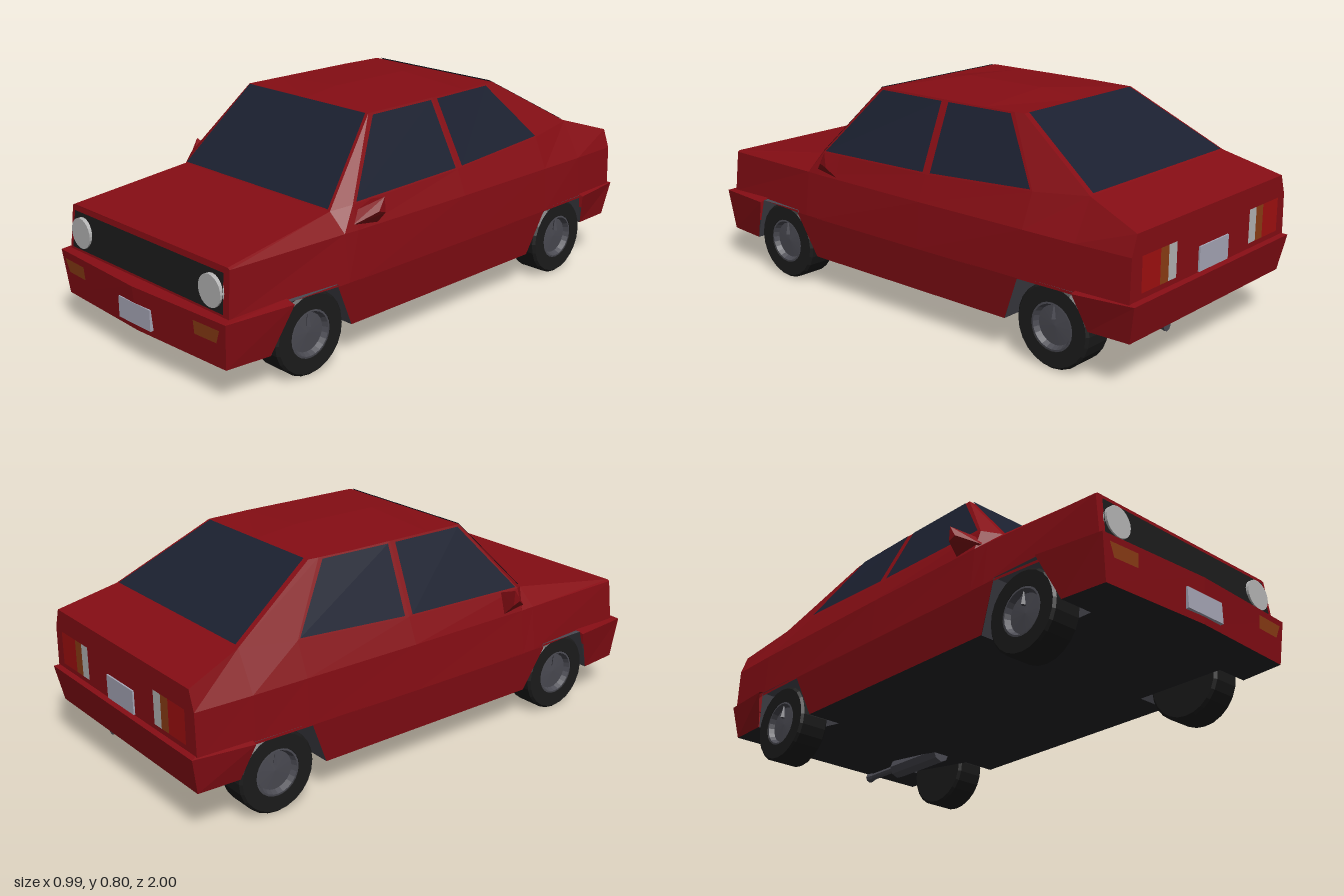
import * as THREE from 'three';
import { ConvexGeometry } from 'three/addons/geometries/ConvexGeometry.js';

const RED = 0x850d14, GLASS = 0x1b2030, BLACK = 0x1b1b1b, GREY = 0x4a4a52,
  FLOOR = 0x242428, PLATE = 0xa6a6b6, ORANGE = 0x8c3c14, LAMP = 0xb4b4b4;

const mat = (color) => new THREE.MeshStandardMaterial({ color, flatShading: true, side: THREE.DoubleSide });
const flip = (face) => face.map(([x, y, z]) => [-x, y, z]).reverse();

export function createModel() {
  const car = new THREE.Group();

  const add = (name, geometry, color, parent = car) => {
    const mesh = new THREE.Mesh(geometry, mat(color));
    mesh.name = name;
    parent.add(mesh);
    return mesh;
  };

  // Flat faces given by corners (counter-clockwise from outside), optionally mirrored in x
  const panel = (name, color, faces, mirror = true) => {
    const all = mirror ? [...faces, ...faces.map(flip)] : faces;
    const pos = [];
    for (const f of all)
      for (let i = 1; i < f.length - 1; i++) pos.push(...f[0], ...f[i], ...f[i + 1]);
    const g = new THREE.BufferGeometry();
    g.setAttribute('position', new THREE.Float32BufferAttribute(pos, 3));
    g.computeVertexNormals();
    return add(name, g, color);
  };

  // Faces between successive cross-sections, each listed from bottom to top
  const loft = (sections) => {
    const faces = [];
    for (let i = 0; i < sections.length - 1; i++)
      for (let j = 0; j < sections[i].length - 1; j++)
        faces.push([sections[i][j], sections[i + 1][j], sections[i + 1][j + 1], sections[i][j + 1]]);
    return faces;
  };

  // Smaller quad lying just outside a quad; corners given as [u, v]
  const inset = (q, uvs, off = 0.005) => {
    const [a, b, c, d] = q.map((p) => new THREE.Vector3(...p));
    const n = c.clone().sub(a).cross(d.clone().sub(b)).normalize().multiplyScalar(off);
    return uvs.map(([u, v]) =>
      a.clone().lerp(b, u).lerp(d.clone().lerp(c, u), v).add(n).toArray());
  };

  // Lower body: z, crease x, shoulder x and y, deck edge x and y
  const stations = [
    [0.935, 0.437, 0.43, 0.445, 0.42, 0.45],
    [0.48, 0.475, 0.455, 0.45, 0.385, 0.51],
    [0.42, 0.476, 0.458, 0.45, 0.43, 0.53],
    [-0.1, 0.477, 0.465, 0.45, 0.427, 0.54],
    [-0.56, 0.475, 0.465, 0.45, 0.415, 0.565],
    [-0.77, 0.472, 0.465, 0.45, 0.39, 0.585],
    [-0.98, 0.465, 0.46, 0.45, 0.435, 0.52],
  ];
  const sections = stations.map(([z, cx, sx, sy, dx, dy], i) => [
    [cx, 0.285, i ? z : 0.95], [sx, sy, z], [dx, dy, z], [0, dy, z]]);
  const nose = sections[0], tail = sections[6];
  panel('body', RED, [
    ...loft(sections),
    [[0, 0.285, 0.95], nose[0], nose[1], nose[2], nose[3]],
    [tail[0], [0, 0.285, -0.98], tail[3], tail[2], tail[1]],
  ]);
  panel('sill', RED, [[[0.455, 0.125, 0.45], [0.455, 0.125, -0.48], [0.476, 0.287, -0.55], [0.476, 0.287, 0.53]]]);

  // Cabin: roof and pillars
  const A = sections[1][2], P = sections[2][2], B = sections[3][2], E = sections[4][2], R = sections[5][2];
  const C = [0.31, 0.78, -0.09], D = [0.31, 0.78, 0.23], F = [0.303, 0.78, -0.39], G = [0.3, 0.78, -0.43];
  const frontSide = [P, B, C, D], rearSide = [B, E, F, C];
  const mirrored = ([x, y, z]) => [-x, y, z];
  const windshield = [mirrored(A), A, D, mirrored(D)];
  const backlight = [R, mirrored(R), mirrored(G), G];
  panel('roof', RED, loft([[0.23, 0.31, 0.78], [0.08, 0.31, 0.8], [-0.26, 0.31, 0.8], [-0.43, 0.3, 0.78]]
    .map(([z, x, top]) => [[x, 0.78, z], [0, top, z]])));
  panel('pillars', RED, [[A, P, D], frontSide, rearSide, [E, R, G, F]]);
  panel('endFrames', RED, [windshield, backlight], false);

  // Glass
  panel('windshieldGlass', GLASS, [inset(windshield, [[0.01, 0.01], [0.99, 0.01], [0.985, 0.99], [0.015, 0.99]])], false);
  panel('rearGlass', GLASS, [inset(backlight, [[0.02, 0.01], [0.98, 0.01], [0.97, 0.99], [0.03, 0.99]])], false);
  panel('sideGlass', GLASS, [
    inset(frontSide, [[0.02, 0.02], [0.975, 0.02], [0.95, 0.97], [0.06, 0.97]]),
    inset(rearSide, [[0.045, 0.02], [0.99, 0.02], [0.95, 0.97], [0.05, 0.97]]),
  ]);

  // Wraparound bumpers: lower edge, upper edge, edge against the body
  panel('frontBumper', RED, loft([
    [[0, 0.125, 0.985], [0, 0.285, 1], [0, 0.29, 0.935]],
    [[0.435, 0.125, 0.965], [0.455, 0.285, 0.978], [0.43, 0.29, 0.935]],
    [[0.452, 0.125, 0.8], [0.49, 0.29, 0.73], [0.45, 0.3, 0.73]],
  ]));
  panel('rearBumper', RED, loft([
    [[0.455, 0.17, -0.82], [0.49, 0.295, -0.78], [0.46, 0.305, -0.78]],
    [[0.45, 0.17, -0.975], [0.468, 0.3, -1], [0.455, 0.305, -0.975]],
    [[0, 0.17, -0.975], [0, 0.3, -1], [0, 0.305, -0.975]],
  ]));

  // Grille and lights
  panel('grille', BLACK, [[[0, 0.3, 0.954], [0.415, 0.3, 0.954], [0.408, 0.432, 0.942], [0, 0.432, 0.942]]]);
  const bumperZ = (x, y) => 1.004 - 0.048 * x - 0.09 * (0.285 - y);
  panel('turnSignals', ORANGE, [
    [[0.305, 0.212], [0.408, 0.212], [0.428, 0.26], [0.305, 0.26]].map(([x, y]) => [x, y, bumperZ(x, y)])]);
  for (const s of [1, -1]) {
    const lamp = add('headlight', new THREE.CylinderGeometry(0.055, 0.055, 0.02, 24), LAMP);
    lamp.rotation.x = Math.PI / 2;
    lamp.position.set(s * 0.355, 0.363, 0.948);
  }
  const rearLamp = (name, color, x0, x1) => panel(name, color,
    [[[x1, 0.325, -0.984], [x0, 0.325, -0.984], [x0, 0.445, -0.984], [x1, 0.445, -0.984]]]);
  rearLamp('brakeLights', 0xa01010, 0.31, 0.41);
  rearLamp('rearSignals', ORANGE, 0.265, 0.31);
  rearLamp('reverseLights', LAMP, 0.22, 0.265);

  // Blank number plates
  add('frontPlate', new THREE.BoxGeometry(0.174, 0.075, 0.016), PLATE).position.set(0, 0.188, 0.988);
  add('rearPlate', new THREE.BoxGeometry(0.174, 0.085, 0.012), PLATE).position.set(0, 0.35, -0.98);

  // Door mirrors
  for (const s of [1, -1]) {
    const pts = [[0.425, 0.53, 0.335], [0.497, 0.555, 0.34], [0.497, 0.5, 0.335], [0.455, 0.455, 0.33],
      [0.497, 0.51, 0.365], [0.445, 0.465, 0.44], [0.42, 0.5, 0.42]];
    add('doorMirror', new ConvexGeometry(pts.map(([x, y, z]) => new THREE.Vector3(s * x, y, z))), RED);
  }

  // Underside, notched around the wheels
  const inner = 0.32;
  panel('floor', FLOOR, [
    [[0, 0.125, 0.985], [0, 0.125, -0.48], [inner, 0.125, -0.48], [inner, 0.125, 0.97]],
    [[0, 0.125, -0.48], [0, 0.17, -0.82], [inner, 0.17, -0.82], [inner, 0.125, -0.48]],
    [[0, 0.17, -0.82], [0, 0.17, -0.975], [0.45, 0.17, -0.975], [0.455, 0.17, -0.82]],
    [[inner, 0.125, 0.45], [inner, 0.125, -0.48], [0.455, 0.125, -0.48], [0.455, 0.125, 0.45]],
    [[inner, 0.125, 0.97], [inner, 0.125, 0.8], [0.452, 0.125, 0.8], [0.435, 0.125, 0.965]],
  ]);

  // Wheel wells: [y, z] outline from front to back
  const wells = [
    [[0.125, 0.8], [0.295, 0.73], [0.295, 0.53], [0.125, 0.45]],
    [[0.125, -0.48], [0.295, -0.55], [0.295, -0.78], [0.17, -0.82]],
  ];
  panel('wheelWells', GREY, wells.flatMap((w) => {
    const wall = w.map(([y, z]) => [inner, y, z]);
    const rim = w.map(([y, z]) => [y < 0.2 ? 0.453 : 0.474, y, z]);
    return [[...wall].reverse(), ...[0, 1, 2].map((i) => [wall[i], wall[i + 1], rim[i + 1], rim[i]])];
  }));

  // Wheels: turned tyre and dished rim, axis along x
  const v2 = (list) => list.map(([r, h]) => new THREE.Vector2(r, h));
  const tyre = new THREE.LatheGeometry(v2([[0, -0.059], [0.135, -0.059], [0.145, -0.05],
    [0.145, 0.05], [0.137, 0.059], [0.084, 0.059], [0.08, 0.035]]), 24);
  const rim = new THREE.LatheGeometry(v2([[0.084, 0.057], [0.077, 0.058], [0.068, 0.038], [0, 0.042]]), 24);
  const valve = new THREE.ConeGeometry(0.013, 0.06, 4);
  for (const s of [1, -1]) for (const z of [0.63, -0.675]) {
    const wheel = new THREE.Group();
    wheel.name = z > 0 ? 'frontWheel' : 'rearWheel';
    add('tyre', tyre, BLACK, wheel);
    add('rim', rim, GREY, wheel);
    const spoke = add('rimSpoke', valve, GREY, wheel);
    spoke.rotation.x = -Math.PI / 2;
    spoke.scale.z = 0.6;
    spoke.position.set(s * -0.055, 0.046, 0).applyAxisAngle(new THREE.Vector3(0, 1, 0), 0);
    spoke.rotation.set(0, 0, s * -Math.PI / 2 + Math.PI);
    wheel.rotation.z = -s * Math.PI / 2;
    wheel.position.set(s * 0.394, 0.146, z);
    car.add(wheel);
  }

  // Exhaust on the left side
  const pipe = (name, r0, r1, z0, z1, y) => {
    const m = add(name, new THREE.CylinderGeometry(r0, r1, z0 - z1, 8), GREY);
    m.rotation.x = Math.PI / 2;
    m.position.set(0.182, y, (z0 + z1) / 2);
  };
  pipe('muffler', 0.038, 0.038, -0.475, -0.75, 0.132);
  pipe('tailPipe', 0.014, 0.014, -0.75, -0.915, 0.138);
  pipe('tailPipeTip', 0.014, 0.02, -0.905, -0.935, 0.138);

  return car;
}
